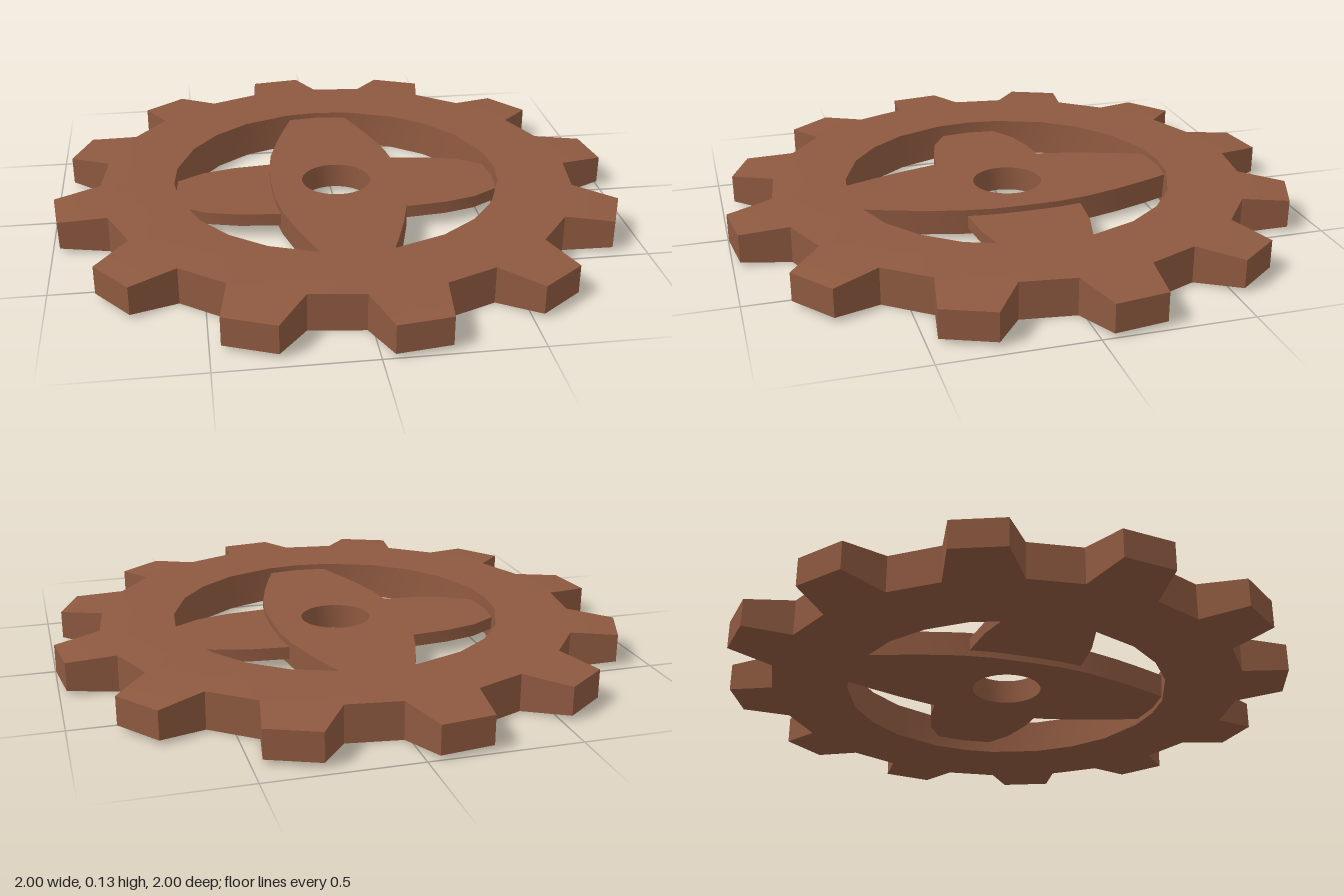
import * as THREE from 'three';
import { toCreasedNormals } from 'three/addons/utils/BufferGeometryUtils.js';

const HEIGHT = 0.128;
const TEETH = 12;
const RAD = Math.PI / 180;

const polar = (r, deg, y) => [r * Math.cos(deg * RAD), y, r * Math.sin(deg * RAD)];

// Toothed ring: flat band, slightly uneven inner edge, teeth thinning to the tip
function ringGeometry() {
  const pos = [];
  const quad = (a, b, c, d) => pos.push(...a, ...b, ...c, ...a, ...c, ...d);
  const innerAngles = [12, 30, 45, 60, 78, 90];
  const stations = [];
  for (let i = 0; i < TEETH * 2; i++) {
    const tooth = 22.5 + 30 * Math.floor(i / 2);
    const side = i % 2 ? 1 : -1;
    const inner = innerAngles[i % 6] + 90 * Math.floor(i / 6);
    const root = tooth + side * 8.7;
    const tip = tooth + side * 5.2;
    stations.push({
      inTop: polar(0.58, inner, HEIGHT), inLow: polar(0.572, inner, 0),
      rootTop: polar(0.84, root, HEIGHT), rootLow: polar(0.84, root, 0),
      tipTop: polar(1, tip, HEIGHT - 0.015), tipLow: polar(1, tip, 0.015),
    });
  }
  stations.forEach((a, i) => {
    const b = stations[(i + 1) % stations.length];
    quad(a.inTop, b.inTop, b.rootTop, a.rootTop);
    quad(a.inLow, a.rootLow, b.rootLow, b.inLow);
    quad(a.inLow, b.inLow, b.inTop, a.inTop);
    if (i % 2) {
      // gap between two teeth
      quad(a.rootTop, b.rootTop, b.rootLow, a.rootLow);
    } else {
      // tooth: top, bottom, tip and two flanks
      quad(a.rootTop, b.rootTop, b.tipTop, a.tipTop);
      quad(a.rootLow, a.tipLow, b.tipLow, b.rootLow);
      quad(a.tipTop, b.tipTop, b.tipLow, a.tipLow);
      quad(a.rootTop, a.tipTop, a.tipLow, a.rootLow);
      quad(b.tipTop, b.rootTop, b.rootLow, b.tipLow);
    }
  });
  const g = new THREE.BufferGeometry();
  g.setAttribute('position', new THREE.Float32BufferAttribute(pos, 3));
  return toCreasedNormals(g, 0.5);
}

// Leaf-shaped double spoke; profile lists [distance from centre, half width]
function spokeGeometry(profile, holeRadius, bottom, top) {
  const mirrored = profile.slice(1).reverse().map(([d, w]) => [-d, w]);
  const edge = [...mirrored, ...profile];
  const outline = [...edge.map(([d, w]) => [d, -w]), ...edge.reverse()];
  const shape = new THREE.Shape(outline.map(([d, w]) => new THREE.Vector2(d, w)));
  shape.holes.push(new THREE.Path().absarc(0, 0, holeRadius, 0, Math.PI * 2, true));
  const g = new THREE.ExtrudeGeometry(shape, { depth: top - bottom, bevelEnabled: false, curveSegments: 16 });
  g.rotateX(Math.PI / 2).translate(0, top, 0);
  return toCreasedNormals(g, 0.5);
}

export function createModel() {
  const group = new THREE.Group();
  const rust = new THREE.MeshStandardMaterial({ color: 0x8e5940 });
  rust.name = 'rustBrown';

  const add = (name, geometry) => {
    const mesh = new THREE.Mesh(geometry, rust);
    mesh.name = name;
    group.add(mesh);
    return mesh;
  };

  add('toothedRing', ringGeometry());

  // thick spoke running front to back
  const long = [[0, 0.235], [0.12, 0.232], [0.23, 0.217], [0.36, 0.182], [0.47, 0.145], [0.59, 0.1]];
  add('frontBackSpoke', spokeGeometry(long, 0.123, 0.02, 0.108)).rotation.y = Math.PI / 2;

  // thinner spoke running left to right
  const cross = [[0, 0.2], [0.23, 0.203], [0.36, 0.19], [0.475, 0.16], [0.59, 0.09]];
  add('sideSpoke', spokeGeometry(cross, 0.126, 0.042, 0.086));

  return group;
}
